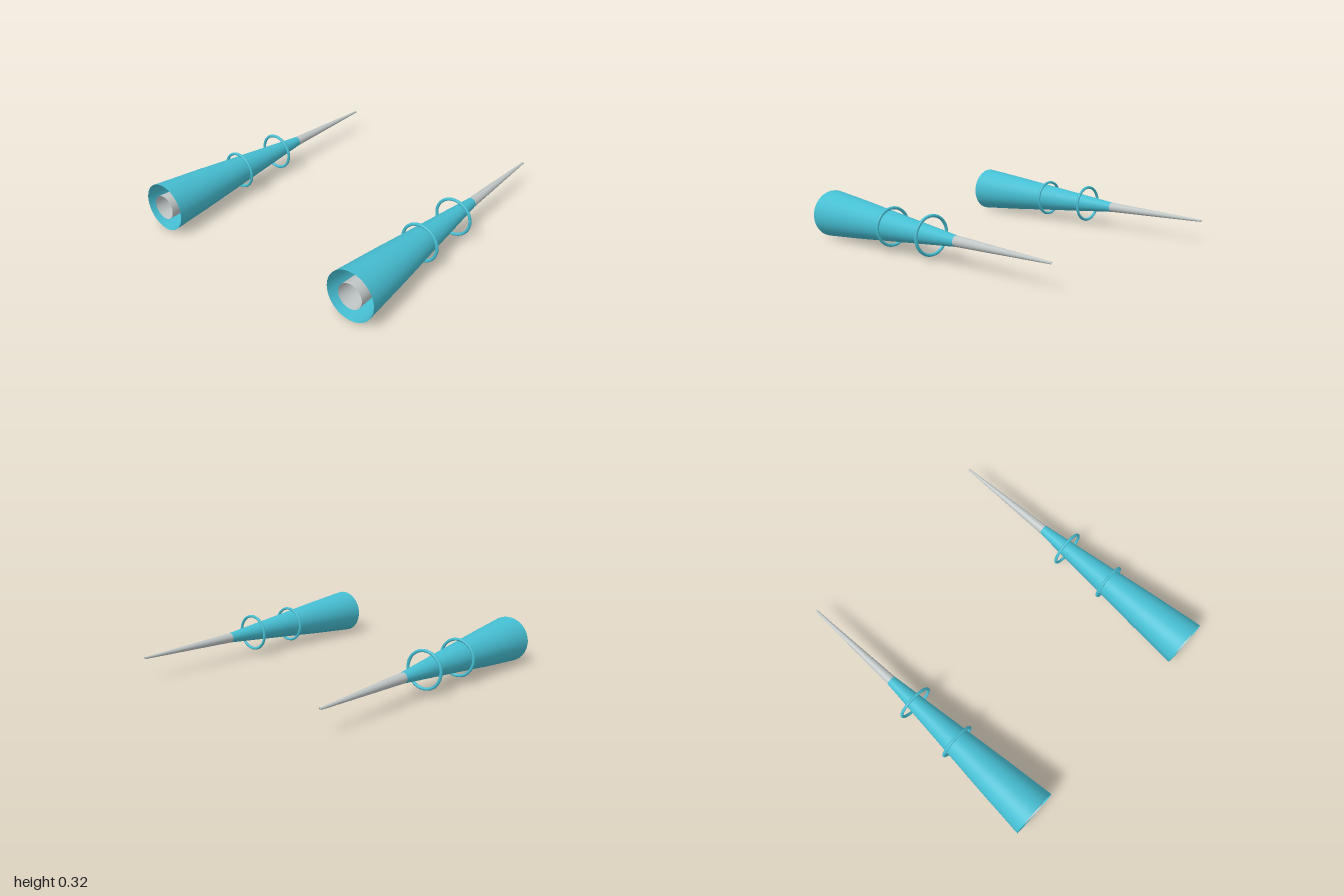
import * as THREE from 'three';

export function createModel() {
  const teal = new THREE.MeshStandardMaterial({ color: 0x46bed2, side: THREE.DoubleSide });
  teal.name = 'teal';
  const grey = new THREE.MeshStandardMaterial({ color: 0xc0c6c6, side: THREE.DoubleSide });
  grey.name = 'paleGrey';

  // open tapering tube along z from [radius, z] pairs, listed back to front
  const taper = (points) =>
    new THREE.LatheGeometry(points.map(([r, z]) => new THREE.Vector2(r, z)), 48).rotateX(Math.PI / 2);

  const hornGeometry = taper([[0.012, -0.5], [0.034, -0.27], [0.095, 0.33], [0.128, 0.65], [0.16, 1]]);
  const spikeGeometry = taper([[0.007, -1], [0.081, 1]]);
  const ringGeometry = new THREE.TorusGeometry(0.121, 0.01, 12, 48);

  const model = new THREE.Group();
  model.name = 'hornPair';

  for (const side of [-1, 1]) {
    const horn = new THREE.Group();
    horn.name = side > 0 ? 'leftHorn' : 'rightHorn';
    horn.position.set(side * 0.76, 0.162, 0);

    const add = (name, geometry, material, z = 0) => {
      const mesh = new THREE.Mesh(geometry, material);
      mesh.name = name;
      mesh.position.z = z;
      horn.add(mesh);
    };

    // wide outer horn, and a long thin tube running through it to the tip
    add('outerHorn', hornGeometry, teal);
    add('innerSpike', spikeGeometry, grey);

    // evenly spaced rings, the front one lying just inside the horn wall
    [-0.047, 0.332, 0.71].forEach((z, i) => add('ring' + (i + 1), ringGeometry, teal, z));

    model.add(horn);
  }
  return model;
}
